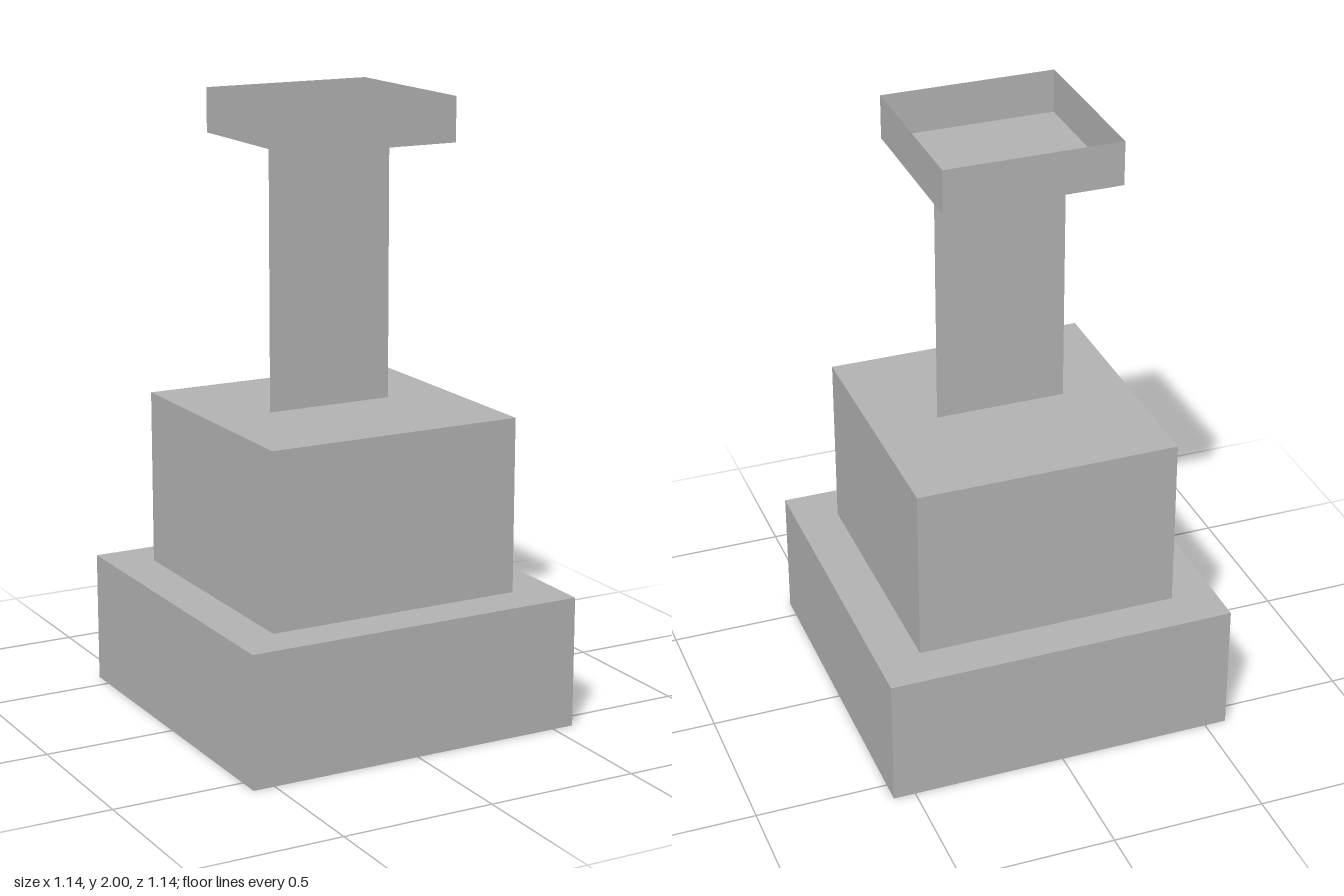
import * as THREE from 'three';

const U = 1 / 7; // module unit: the tower is 14 units tall

export function createModel() {
  const group = new THREE.Group();
  const stone = new THREE.MeshStandardMaterial({ color: 0xb2b2b2, side: THREE.DoubleSide });
  stone.name = 'grey';

  const add = (name, geometry, y = 0) => {
    const mesh = new THREE.Mesh(geometry, stone);
    mesh.name = name;
    mesh.position.y = y;
    group.add(mesh);
  };

  const square = (Type, half) => new Type(
    [[-half, -half], [half, -half], [half, half], [-half, half]].map(([x, y]) => new THREE.Vector2(x, y))
  );

  // Thin box shell with one end left open ('top' or 'bottom'), standing on y = 0
  const openBox = (half, height, open) => {
    const box = new THREE.BoxGeometry(half * 2, height, half * 2);
    const skip = open === 'top' ? 2 : 3; // box face order: +x -x +y -y +z -z
    const index = Array.from(box.index.array).filter((_, i) => Math.floor(i / 6) !== skip);
    box.setIndex(index);
    box.clearGroups();
    return box.translate(0, height / 2, 0);
  };

  // Hollow plinth: square frame open through the middle
  const frame = square(THREE.Shape, 4 * U);
  frame.holes.push(square(THREE.Path, 3 * U));
  const plinth = new THREE.ExtrudeGeometry(frame, { depth: 3 * U, bevelEnabled: false });
  add('plinth', plinth.rotateX(-Math.PI / 2));

  // Upper block, hollow and open underneath
  add('upperBlock', openBox(3 * U, 4 * U, 'bottom'), 3 * U);

  // Flat, single-sheet post facing front and back
  add('post', new THREE.PlaneGeometry(3 * U, 6 * U).translate(0, 3 * U, 0), 7 * U);

  // Shallow open tray on top
  add('tray', openBox(2 * U, U, 'top'), 13 * U);

  return group;
}
